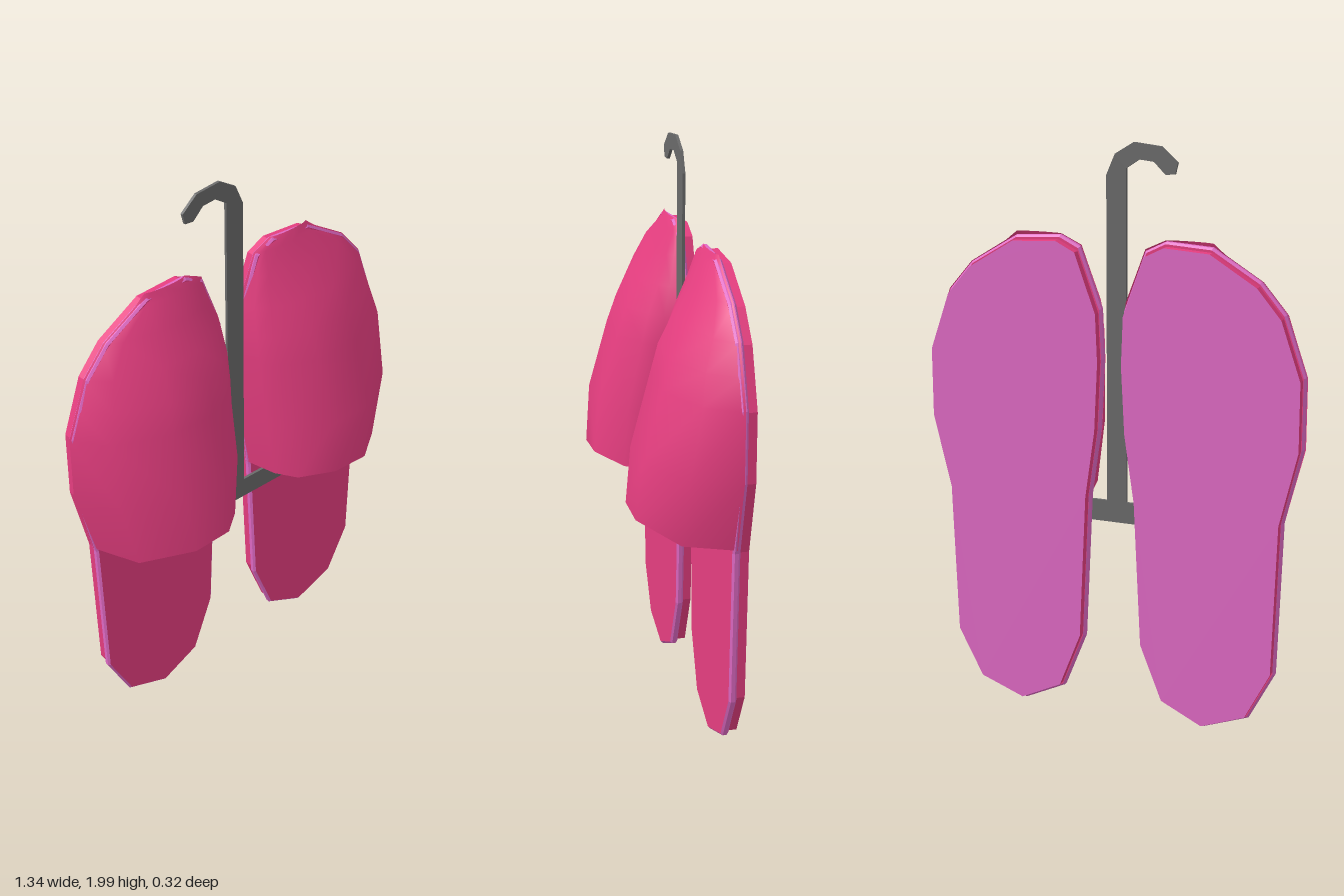
import * as THREE from 'three';

const pink = new THREE.MeshStandardMaterial({ name: 'pink', color: 0xe63e80, side: THREE.DoubleSide });
const purple = new THREE.MeshStandardMaterial({ name: 'purple', color: 0xe06ac5 });
const grey = new THREE.MeshStandardMaterial({ name: 'grey', color: 0x6a6a6a });

// Sole outline of the left slipper
const SOLE = [
  [0.105, 0.28], [0.185, 0.08], [0.335, 0.008], [0.495, 0.068], [0.585, 0.24], [0.602, 0.78],
  [0.665, 1.04], [0.665, 1.28], [0.595, 1.48], [0.51, 1.58], [0.345, 1.68], [0.185, 1.69],
  [0.115, 1.655], [0.04, 1.45], [0.033, 1.28], [0.045, 1.04], [0.08, 0.8],
];

// Upper sections from mouth to toe: y, inner x, outer x, height
const SECTIONS = [
  [0.793, 0.078, 0.606, 0.282], [1.04, 0.041, 0.669, 0.264], [1.28, 0.029, 0.669, 0.197],
  [1.38, 0.032, 0.634, 0.167], [1.48, 0.044, 0.6, 0.116], [1.58, 0.082, 0.515, 0.066],
  [1.66, 0.112, 0.385, 0.029], [1.693, 0.182, 0.345, 0.012],
];
// Cross-section of the upper: fraction of width, fraction of height
const ARCH = [[0, 0], [0.055, 0.42], [0.13, 0.7], [0.32, 1], [0.59, 1], [0.88, 0.59], [1, 0]];

function plate(name, points, z0, z1, material, bevel = 0) {
  const shape = new THREE.Shape(points.map(([x, y]) => new THREE.Vector2(x, y)));
  const geometry = new THREE.ExtrudeGeometry(shape, {
    depth: z1 - z0 - 2 * bevel, bevelEnabled: bevel > 0, bevelThickness: bevel,
    bevelSize: bevel, bevelOffset: -bevel, bevelSegments: 1,
  });
  geometry.translate(0, 0, z0 + bevel);
  const mesh = new THREE.Mesh(geometry, material);
  mesh.name = name;
  return mesh;
}

function upper(side) {
  const positions = [], index = [], n = ARCH.length;
  SECTIONS.forEach(([y, inner, outer, height], row) => {
    for (const [u, v] of ARCH) {
      // the mouth rises to its crest and towards the inner edge
      const lift = row === 0 ? 0.042 * v ** 4 + 0.02 * (1 - u) ** 2 : 0;
      positions.push(side * (inner + (outer - inner) * u), y + lift, -0.122 + height * v);
    }
  });
  for (let r = 0; r < SECTIONS.length - 1; r++) {
    for (let i = 0; i < n - 1; i++) {
      const a = r * n + i, b = a + 1, c = a + n, d = c + 1;
      if (side > 0) index.push(a, b, d, a, d, c);
      else index.push(a, d, b, a, c, d);
    }
  }
  const geometry = new THREE.BufferGeometry();
  geometry.setAttribute('position', new THREE.Float32BufferAttribute(positions, 3));
  geometry.setIndex(index);
  geometry.computeVertexNormals();
  const mesh = new THREE.Mesh(geometry, pink);
  mesh.name = 'upper';
  return mesh;
}

function slipper(side) {
  const group = new THREE.Group();
  group.name = side > 0 ? 'leftSlipper' : 'rightSlipper';
  const outline = (kx, ky) => SOLE.map(([x, y]) =>
    [side * (0.348 + (x - 0.348) * kx), 0.85 + (y - 0.85) * ky]);
  group.add(
    // insole: pink bed, purple rim
    plate('insole', outline(1, 1), -0.134, -0.107, [pink, purple], 0.007),
    // outsole: purple underside, pink edge
    plate('outsole', outline(0.97, 0.982), -0.163, -0.133, [purple, pink]),
    upper(side),
  );
  return group;
}

function hanger() {
  // Right half of the cradle, mirrored for the left, with the hook between
  const arm = [[0.305, 0.7], [0.355, 0.75], [0.355, 0.95], [0.295, 0.95],
    [0.295, 0.8], [0.27, 0.775], [0.035, 0.775]];
  const hook = [[0.035, 1.89], [0.005, 1.96], [-0.06, 2], [-0.155, 1.99], [-0.212, 1.94],
    [-0.203, 1.903], [-0.17, 1.9], [-0.13, 1.94], [-0.08, 1.945], [-0.035, 1.915]];
  const mirrored = arm.map(([x, y]) => [-x, y]).reverse();
  return plate('hanger', [...arm, ...hook, ...mirrored], -0.095, -0.085, grey);
}

export function createModel() {
  const model = new THREE.Group();
  model.name = 'slippersOnHanger';
  model.add(slipper(1), slipper(-1), hanger());
  return model;
}
